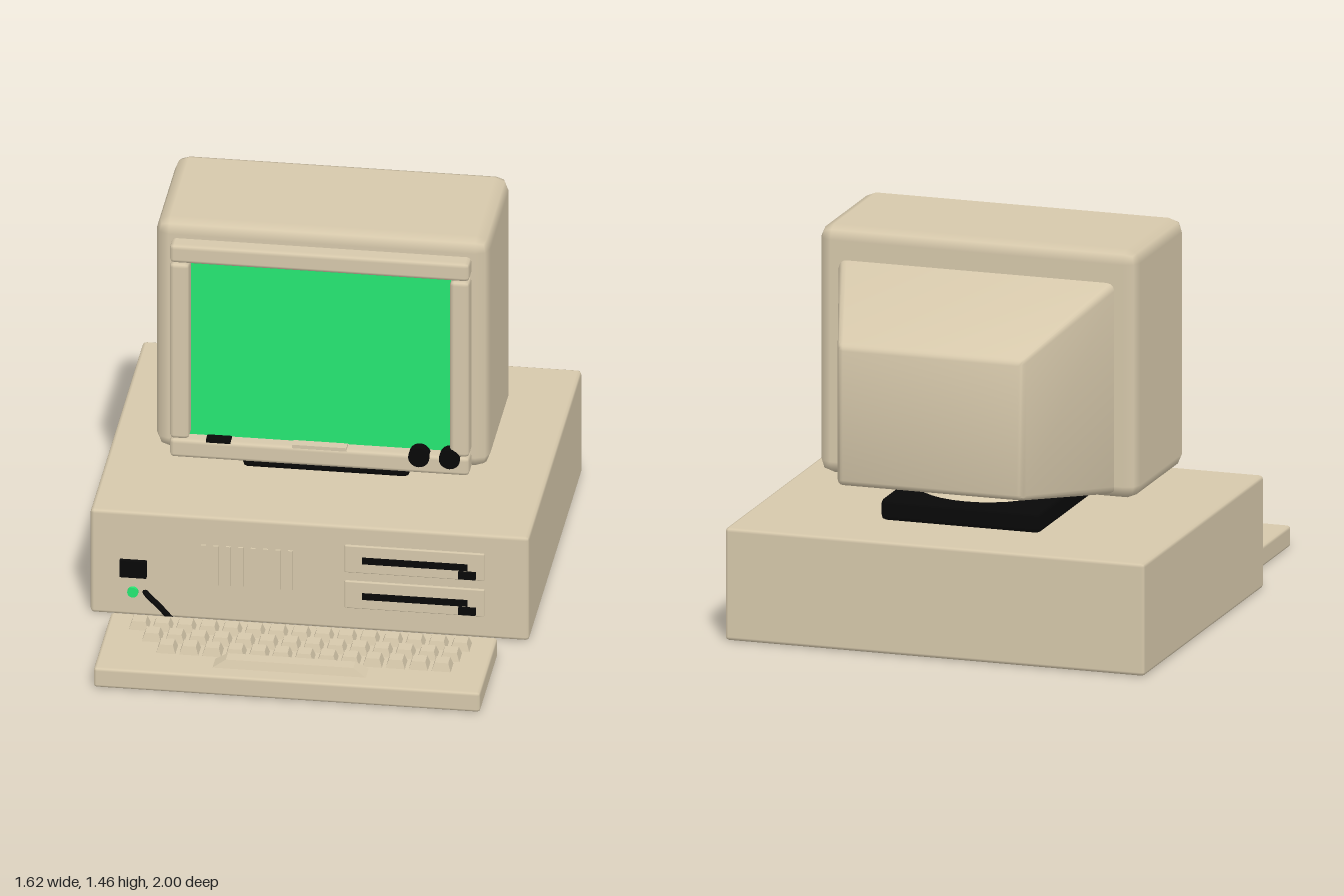
import * as THREE from 'three';
import { RoundedBoxGeometry } from 'three/addons/geometries/RoundedBoxGeometry.js';
import { mergeVertices, toCreasedNormals } from 'three/addons/utils/BufferGeometryUtils.js';

const material = (name, color) => {
  const m = new THREE.MeshStandardMaterial({ color });
  m.name = name;
  return m;
};

export function createModel() {
  const beige = material('beige plastic', 0xd6c8ab);
  const black = material('black plastic', 0x080808);
  const green = material('screen green', 0x27eb74);
  const model = new THREE.Group();
  model.name = 'desktopComputer';

  const group = (name) => {
    const g = new THREE.Group();
    g.name = name;
    model.add(g);
    return g;
  };
  const add = (parent, name, geometry, mat) => {
    const mesh = new THREE.Mesh(geometry, mat);
    mesh.name = name;
    parent.add(mesh);
    return mesh;
  };
  // Box given by its [min, max] extent on each axis, with optional bevelled edges
  const box = (parent, name, mat, [x0, x1], [y0, y1], [z0, z1], r = 0) => {
    const size = [x1 - x0, y1 - y0, z1 - z0];
    const geo = r ? new RoundedBoxGeometry(...size, 1, r) : new THREE.BoxGeometry(...size);
    const mesh = add(parent, name, geo, mat);
    mesh.position.set((x0 + x1) / 2, (y0 + y1) / 2, (z0 + z1) / 2);
    return mesh;
  };
  // Round part facing the front
  const disc = (parent, name, mat, r, x, y, z0, z1) => {
    const mesh = add(parent, name, new THREE.CylinderGeometry(r, r, z1 - z0, 20), mat);
    mesh.rotation.x = Math.PI / 2;
    mesh.position.set(x, y, (z0 + z1) / 2);
  };
  // Key shape: a box whose top is inset on all sides
  const keyGeometry = (w, d, h, insetX, insetZ) => {
    const geo = new THREE.BoxGeometry(w, h, d).toNonIndexed();
    const p = geo.attributes.position;
    for (let i = 0; i < p.count; i++) {
      if (p.getY(i) > 0) {
        p.setX(i, p.getX(i) - Math.sign(p.getX(i)) * insetX);
        p.setZ(i, p.getZ(i) - Math.sign(p.getZ(i)) * insetZ);
      }
    }
    geo.computeVertexNormals();
    return geo;
  };

  // System unit
  const unit = group('systemUnit');
  box(unit, 'case', beige, [-0.808, 0.808], [0, 0.424], [-0.945, 0.412], 0.014);
  for (let i = 0; i < 8; i++) {
    const x = -0.39 + i * 0.0457;
    box(unit, 'ventSlat', beige, [x - 0.009, x + 0.009], [0.15, 0.31], [0.4, 0.42]);
  }
  for (const y of [0.093, 0.239]) {
    box(unit, 'driveBay', beige, [0.13, 0.645], [y, y + 0.11], [0.4, 0.422], 0.004);
    box(unit, 'driveSlot', black, [0.195, 0.584], [y + 0.042, y + 0.066], [0.418, 0.43]);
    box(unit, 'driveLatch', black, [0.55, 0.614], [y + 0.008, y + 0.037], [0.418, 0.433]);
  }
  box(unit, 'powerSwitch', black, [-0.698, -0.599], [0.163, 0.23], [0.4, 0.43]);
  disc(unit, 'powerLight', green, 0.02, -0.65, 0.1, 0.4, 0.425);

  // Swivel stand
  const stand = group('stand');
  box(stand, 'swivelBase', black, [-0.308, 0.308], [0.422, 0.505], [-0.657, 0.002], 0.02);
  const neck = add(stand, 'neck', new THREE.CylinderGeometry(0.2, 0.27, 0.05, 32), beige);
  neck.position.set(0, 0.525, -0.33);

  // Monitor housing
  const monitor = group('monitor');
  box(monitor, 'housing', beige, [-0.614, 0.614], [0.525, 1.462], [-0.468, 0.1], 0.05);

  // Tapered back of the picture tube: a rounded box narrowed towards the rear
  let back = new RoundedBoxGeometry(1.08, 0.81, 0.56, 2, 0.03);
  const p = back.attributes.position;
  for (let i = 0; i < p.count; i++) {
    const t = 0.5 - p.getZ(i) / 0.56;
    p.setX(i, p.getX(i) * (1 - 0.345 * t));
    p.setY(i, p.getY(i) * (1 - 0.35 * t) - 0.045 * t);
  }
  back.deleteAttribute('normal');
  back.deleteAttribute('uv');
  back = toCreasedNormals(mergeVertices(back), 0.6);
  add(monitor, 'tubeCover', back, beige).position.set(0, 0.945, -0.72);

  // Screen and its frame
  box(monitor, 'screen', green, [-0.49, 0.49], [0.6, 1.335], [0.106, 0.115]);
  box(monitor, 'frameTop', beige, [-0.552, 0.552], [1.326, 1.4], [0.09, 0.166], 0.016);
  box(monitor, 'frameBottom', beige, [-0.552, 0.552], [0.53, 0.606], [0.09, 0.166], 0.016);
  for (const s of [-1, 1]) {
    box(monitor, 'frameSide', beige, [s * 0.516 - 0.036, s * 0.516 + 0.036], [0.606, 1.324], [0.09, 0.166], 0.016);
  }
  disc(monitor, 'brightnessKnob', black, 0.039, 0.367, 0.598, 0.13, 0.17);
  disc(monitor, 'contrastKnob', black, 0.039, 0.48, 0.598, 0.13, 0.17);
  box(monitor, 'indicator', black, [-0.417, -0.327], [0.6, 0.614], [0.125, 0.164]);
  box(monitor, 'plate', beige, [-0.1, 0.1], [0.6, 0.614], [0.125, 0.164]);

  // Keyboard with three rows of keys and a space bar
  const keyboard = group('keyboard');
  box(keyboard, 'keyboardBase', beige, [-0.712, 0.712], [0, 0.08], [0.545, 1], 0.012);
  const key = keyGeometry(0.074, 0.074, 0.036, 0.012, 0.011);
  const rows = [[15, -0.592, 0.643], [14, -0.532, 0.728], [13, -0.467, 0.813]];
  for (const [count, x, z] of rows) {
    for (let i = 0; i < count; i++) {
      add(keyboard, 'key', key, beige).position.set(x + i * 0.0845, 0.093, z);
    }
  }
  const space = add(keyboard, 'spaceBar', keyGeometry(0.58, 0.076, 0.036, 0.055, 0.012), beige);
  space.position.set(0, 0.093, 0.898);

  // Keyboard cable
  const path = new THREE.CatmullRomCurve3([
    new THREE.Vector3(-0.61, 0.1, 0.4), new THREE.Vector3(-0.595, 0.095, 0.425),
    new THREE.Vector3(-0.55, 0.07, 0.455), new THREE.Vector3(-0.485, 0.065, 0.555),
  ]);
  add(keyboard, 'cable', new THREE.TubeGeometry(path, 20, 0.011, 8), black);

  return model;
}
